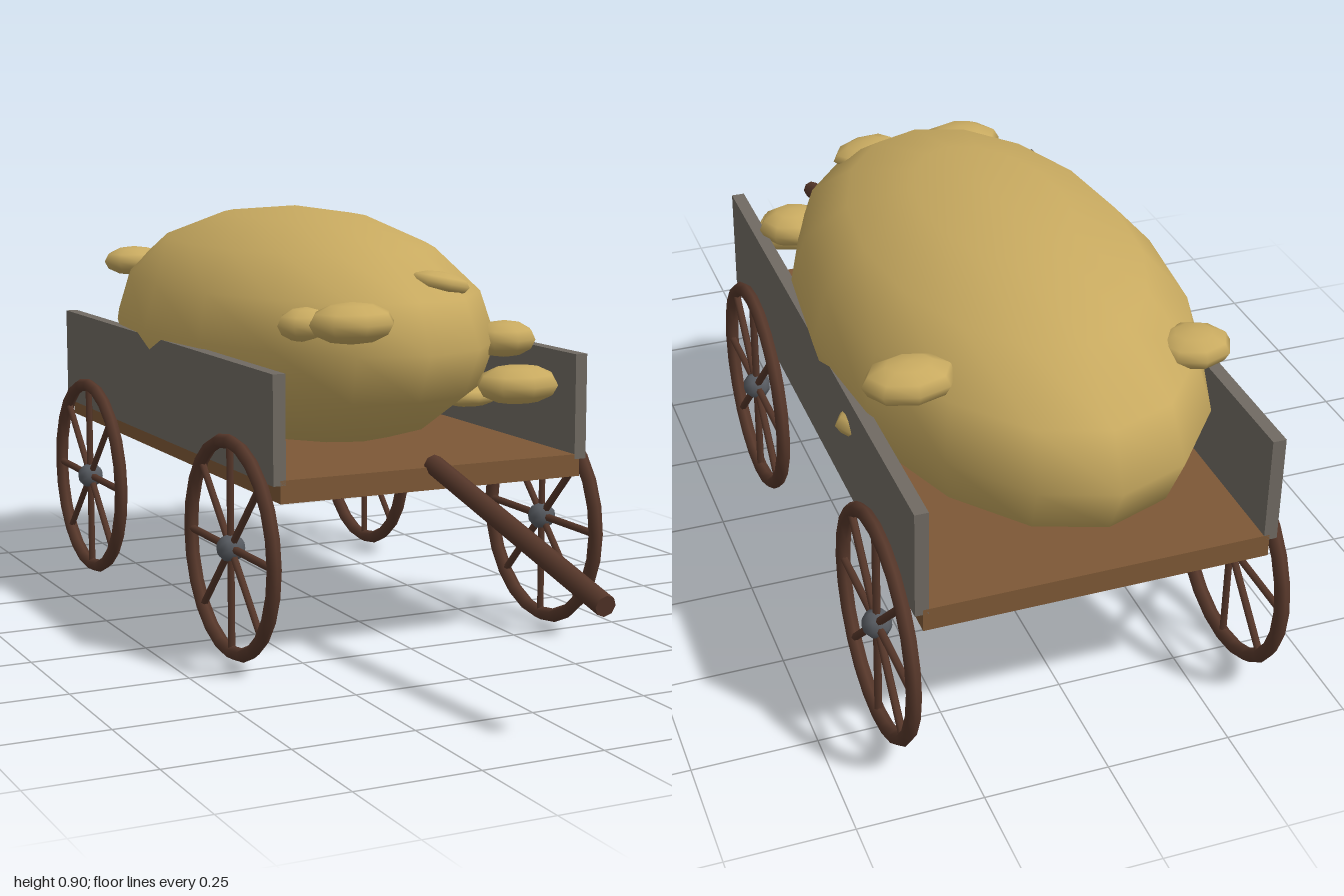
import * as THREE from 'three';

function mat(name, color) {
  const m = new THREE.MeshStandardMaterial({ color });
  m.name = name;
  return m;
}

export function createModel() {
  const straw = mat('straw', 0xc8aa60);
  const plank = mat('plank brown', 0x7d5836);
  const grey = mat('weathered grey', 0x706a62);
  const dark = mat('dark wood', 0x56372a);
  const iron = mat('iron', 0x585c62);

  const cart = new THREE.Group();
  cart.name = 'hayCart';

  const add = (parent, name, geometry, material, x = 0, y = 0, z = 0) => {
    const mesh = new THREE.Mesh(geometry, material);
    mesh.name = name;
    mesh.position.set(x, y, z);
    parent.add(mesh);
    return mesh;
  };

  // Bed and side boards
  add(cart, 'bed', new THREE.BoxGeometry(0.686, 0.047, 1.275), plank, 0, 0.388, -0.284);
  for (const s of [1, -1]) {
    add(cart, s > 0 ? 'leftSideBoard' : 'rightSideBoard',
      new THREE.BoxGeometry(0.027, 0.222, 1.275), grey, s * 0.345, 0.512, -0.284);
  }

  // Sloping draw pole
  const from = new THREE.Vector3(0, 0.416, 0.345);
  const to = new THREE.Vector3(0, 0.268, 0.995);
  const dir = to.clone().sub(from);
  const pole = add(cart, 'drawPole', new THREE.CylinderGeometry(0.021, 0.021, dir.length(), 8), dark);
  pole.position.copy(from).lerp(to, 0.5);
  pole.quaternion.setFromUnitVectors(new THREE.Vector3(0, 1, 0), dir.normalize());

  // Wheels: rim, four full-width spoke bars and a round hub
  const rimGeo = new THREE.TorusGeometry(0.221, 0.015, 6, 24);
  const spokeGeo = new THREE.CylinderGeometry(0.008, 0.008, 0.44, 6);
  const hubGeo = new THREE.SphereGeometry(0.03, 8, 6);
  hubGeo.rotateX(Math.PI / 2);
  for (const s of [1, -1]) {
    for (const z of [0.16, -0.727]) {
      const wheel = new THREE.Group();
      wheel.name = (z > 0 ? 'front' : 'rear') + (s > 0 ? 'Left' : 'Right') + 'Wheel';
      wheel.position.set(s * 0.37, 0.241, z);
      wheel.rotation.y = s * Math.PI / 2;
      add(wheel, 'rim', rimGeo, dark);
      for (let i = 0; i < 4; i++) {
        add(wheel, 'spoke', spokeGeo, dark).rotation.z = i * Math.PI / 4;
      }
      add(wheel, 'hub', hubGeo, iron);
      cart.add(wheel);
    }
  }

  // Heaped hay
  add(cart, 'hayPile', new THREE.SphereGeometry(1, 16, 8), straw, 0, 0.635, -0.333)
    .scale.set(0.37, 0.27, 0.667);

  // Loose tufts: centre, half sizes, tilt
  const tuftGeo = new THREE.SphereGeometry(1, 8, 6);
  const tufts = [
    [-0.152, 0.705, 0.28, 0.095, 0.043, 0.075, 0],
    [0.098, 0.768, 0.188, 0.072, 0.024, 0.052, -0.2],
    [0.275, 0.637, 0.15, 0.073, 0.04, 0.065, 0],
    [0.234, 0.557, 0.28, 0.095, 0.042, 0.075, 0],
    [0.298, 0.765, -0.715, 0.09, 0.04, 0.065, 0],
    [-0.237, 0.755, -0.76, 0.075, 0.035, 0.065, 0],
    [-0.195, 0.692, 0.16, 0.068, 0.037, 0.055, 0],
    [0.298, 0.555, -0.51, 0.082, 0.035, 0.06, 0],
    [0.235, 0.505, 0.07, 0.07, 0.025, 0.05, 0],
  ];
  for (const [x, y, z, a, b, c, tilt] of tufts) {
    const tuft = add(cart, 'hayTuft', tuftGeo, straw, x, y, z);
    tuft.scale.set(a, b, c);
    tuft.rotation.z = tilt;
  }

  return cart;
}
